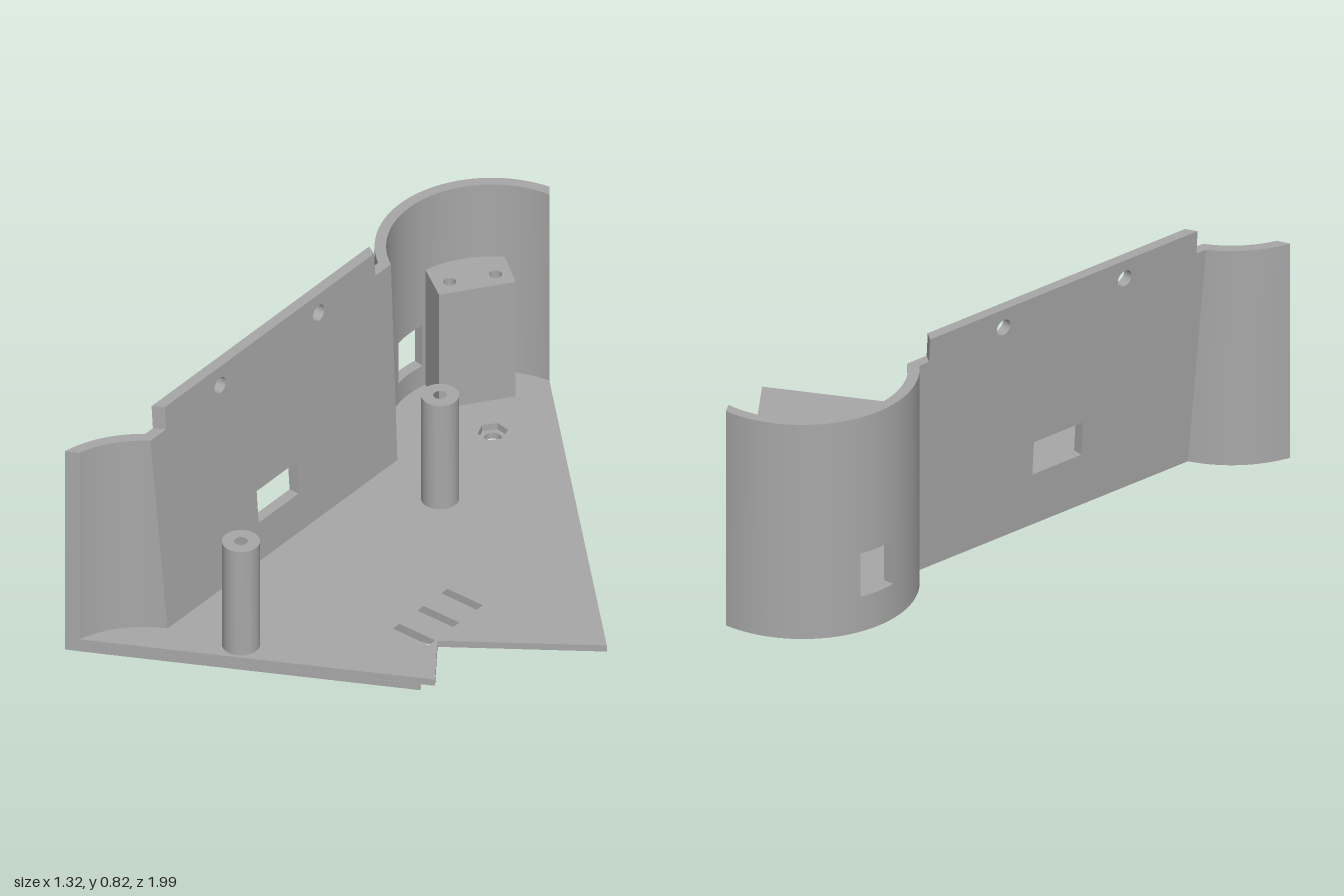
import * as THREE from 'three';
import { toCreasedNormals } from 'three/addons/utils/BufferGeometryUtils.js';

const CX = -0.305, CZ = -0.65, RI = 0.32, RO = 0.355; // corner cylinder
const MID = 0.2;                 // wall's mirror plane in z
const FLOOR = 0.045, STEP = 0.022, RIM = 0.74, TOP = 0.82;

// sloping back wall: x of its inner and outer face at a height
const wallX = (r, y) => (r === RI ? -0.437 : -0.472) - 0.065 * y;
// angle at which a corner cylinder meets the sloping wall
const endAngle = (r, y) => Math.acos((CX - wallX(r, y)) / r);
const arcPoint = (r, a) => [CX - r * Math.cos(a), CZ + r * Math.sin(a)];
const mirror = ([x, z]) => [x, 2 * MID - z];

// where each curved wall is cut off at its free end
const bigStart = r => (r === RI ? Math.atan2(-0.319, 0.03) : Math.atan2(-0.35, 0.055));
const smallStart = r => (r === RI ? 0.255 : 0.175);

export function createModel() {
  const model = new THREE.Group();
  model.name = 'cornerBracket';
  const grey = new THREE.MeshStandardMaterial({ color: 0xa8a8a8 });
  grey.name = 'grey plastic';

  const add = (name, geometry, parent = model) => {
    const mesh = new THREE.Mesh(toCreasedNormals(geometry, 0.6), grey);
    mesh.name = name;
    parent.add(mesh);
  };
  const vec = pts => pts.map(([x, z]) => new THREE.Vector2(x, -z));
  const circle = (x, z, r, n = 28, turn = 0) => Array.from({ length: n }, (_, i) => {
    const a = turn + (i / n) * Math.PI * 2;
    return [x + r * Math.cos(a), z + r * Math.sin(a)];
  });
  const arc = (r, a0, a1, n) => Array.from({ length: n + 1 }, (_, i) =>
    arcPoint(r, a0 + (a1 - a0) * i / n));
  // upright prism from a plan outline in x and z
  const prism = (outline, holes, y0, y1) => {
    const shape = new THREE.Shape(vec(outline));
    shape.holes = holes.map(h => new THREE.Path(vec(h)));
    return new THREE.ExtrudeGeometry(shape, { depth: y1 - y0, bevelEnabled: false })
      .rotateX(-Math.PI / 2).translate(0, y0, 0);
  };
  const moveVertices = (geometry, rule) => {
    const p = geometry.attributes.position, v = new THREE.Vector3();
    for (let i = 0; i < p.count; i++) {
      v.fromBufferAttribute(p, i);
      rule(v);
      p.setXYZ(i, v.x, v.y, v.z);
    }
    geometry.computeVertexNormals();
    return geometry;
  };

  // Floor plate in two layers, the lower one set back along the notched edge
  const backEdge = [
    ...arc(RI, bigStart(RI), endAngle(RI, FLOOR), 48),
    ...arc(RI, endAngle(RI, FLOOR), smallStart(RI), 16).map(mirror),
  ];
  const slot = (z0, z1) => [[0.095, z0], [0.233, z0], [0.233, z1], [0.095, z1]];
  const slots = [slot(0.07, 0.1), slot(0.185, 0.215)];
  const floor = new THREE.Group();
  floor.name = 'floorPlate';
  model.add(floor);
  add('floorLower', prism(
    [...backEdge, [0.32, 0.485], [0.208, 0.335], [0.095, 0.335], [0.095, 0.303],
      [0.184, 0.303], [0.175, 0.291], [0.625, -0.033]],
    [...slots, circle(CX, -0.655, 0.027)], 0, STEP), floor);
  add('floorUpper', prism(
    [...backEdge, [0.36, 0.463], [0.24, 0.3], [0.657, 0]],
    [...slots, slot(0.303, 0.335), circle(CX, -0.655, 0.047, 6, 0.15)], STEP, FLOOR), floor);

  // Curved walls: a box bent around the corner cylinder
  const curvedPiece = (a0, a1, y0, y1, flip = false) =>
    moveVertices(new THREE.BoxGeometry(1, 1, 1, 24, 1, 1), v => {
      const t = flip ? 0.5 - v.x : 0.5 + v.x;
      const r = v.z > 0 ? RO : RI;
      const y = v.y > 0 ? y1 : y0;
      const from = a0(r, y), to = a1(r, y);
      const p = arcPoint(r, from + (to - from) * t);
      const [x, z] = flip ? mirror(p) : p;
      v.set(x, y, z);
    });
  const W = 0.184; // half angle of the window
  const big = new THREE.Group();
  big.name = 'largeCurvedWall';
  model.add(big);
  add('curveFreeSide', curvedPiece(bigStart, () => -W, 0, RIM), big);
  add('curveBelowWindow', curvedPiece(() => -W, () => W, 0, 0.12), big);
  add('curveAboveWindow', curvedPiece(() => -W, () => W, 0.27, RIM), big);
  add('curveWallSide', curvedPiece(() => W, endAngle, 0, RIM), big);
  add('smallCurvedWall', curvedPiece(smallStart, endAngle, 0, RIM, true));

  // Sloping back wall with a window, two screw holes and a raised top tab
  const face = [[-0.6, 0], [0.6, 0], [0.6, RIM], [0.52, RIM], [0.52, TOP],
    [-0.52, TOP], [-0.52, RIM], [-0.6, RIM]];
  const wallShape = new THREE.Shape(face.map(([s, y]) => new THREE.Vector2(s - MID, y)));
  const wallHoles = [
    [[-0.305, 0.18], [-0.11, 0.18], [-0.11, 0.295], [-0.305, 0.295]],
    circle(-0.445, 0.755, 0.027), circle(0.035, 0.755, 0.027),
  ];
  wallShape.holes = wallHoles.map(h =>
    new THREE.Path(h.map(([s, y]) => new THREE.Vector2(s, y))));
  const wall = new THREE.ExtrudeGeometry(wallShape, { depth: 1, bevelEnabled: false })
    .rotateY(Math.PI / 2);
  add('slopingWall', moveVertices(wall, v => {
    const r = v.x > 0.5 ? RI : RO;
    let d = Math.abs(v.z - MID);
    if (d > 0.55) d = MID - arcPoint(r, endAngle(r, v.y))[1];
    else if (d > 0.5) d += r === RI ? -0.01 : 0.01;
    v.z = MID + Math.sign(v.z - MID) * d;
    v.x = wallX(r, v.y);
  }));

  // Screw posts
  for (const [name, z] of [['rearPost', -0.285], ['frontPost', 0.685]]) {
    add(name, prism(circle(-0.215, z, 0.058, 40), [circle(-0.215, z, 0.021)], FLOOR, 0.43));
  }

  // Mounting block fitted against the curved wall
  const block = [[-0.505, -0.645], [-0.365, -0.842],
    ...arc(RI, Math.atan2(-0.27, 0.165), Math.atan2(-0.07, 0.311), 12)];
  add('mountingBlock', prism(block,
    [circle(-0.437, -0.835, 0.02), circle(-0.522, -0.718, 0.02)], FLOOR, 0.472));

  return model;
}
